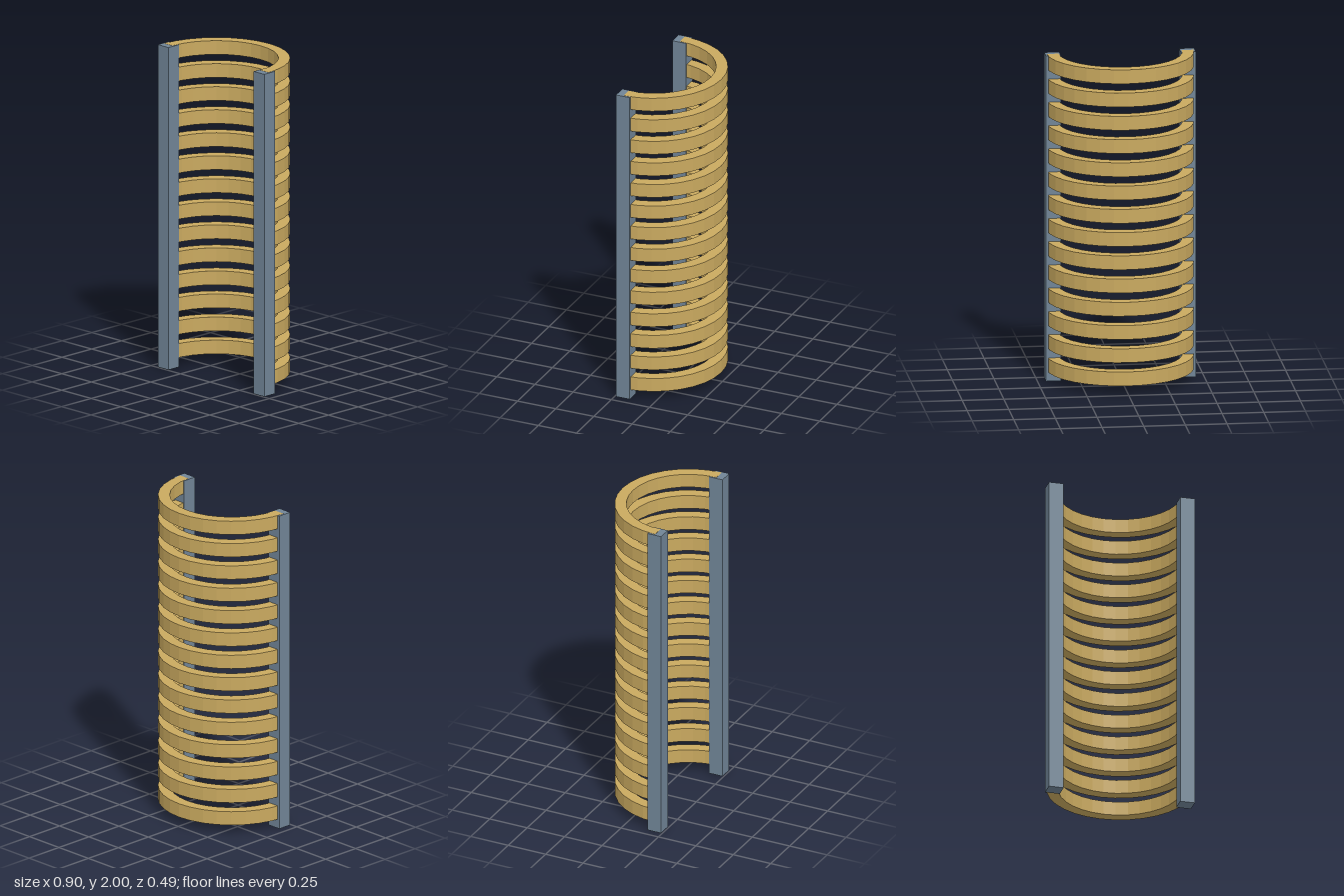
import * as THREE from 'three';

const RINGS = 14, SEGMENTS = 16;
const OUTER = 0.44, INNER = 0.37, CENTRE_Z = 0.197;
const PITCH = 2 / RINGS, BAND = PITCH * 0.6;

// Half-ring outline, extruded upwards and bulging towards the back
function halfRing() {
  const arc = (r) => Array.from({ length: SEGMENTS + 1 }, (_, i) => {
    const a = (i / SEGMENTS) * Math.PI;
    return new THREE.Vector2(r * Math.cos(a), r * Math.sin(a));
  });
  const shape = new THREE.Shape([...arc(OUTER), ...arc(INNER).reverse()]);
  return new THREE.ExtrudeGeometry(shape, { depth: BAND, bevelEnabled: false }).rotateX(-Math.PI / 2);
}

export function createModel() {
  const model = new THREE.Group();
  model.name = 'hoopCage';

  const gold = new THREE.MeshStandardMaterial({ color: 0xc9a95f });
  gold.name = 'gold';
  const slate = new THREE.MeshStandardMaterial({ color: 0x708496 });
  slate.name = 'slate';

  // Square posts, a hair lower than the top hoop so its ends show
  const postGeometry = new THREE.BoxGeometry(0.09, 1.999, 0.09);
  for (const side of [1, -1]) {
    const post = new THREE.Mesh(postGeometry, slate);
    post.name = side > 0 ? 'leftPost' : 'rightPost';
    post.position.set(side * 0.405, 0.9995, CENTRE_Z);
    model.add(post);
  }

  // Evenly spaced hoops
  const hoopGeometry = halfRing();
  for (let i = 0; i < RINGS; i++) {
    const hoop = new THREE.Mesh(hoopGeometry, gold);
    hoop.name = `hoop${i + 1}`;
    hoop.position.set(0, (i + 1) * PITCH - BAND, CENTRE_Z);
    model.add(hoop);
  }
  return model;
}
